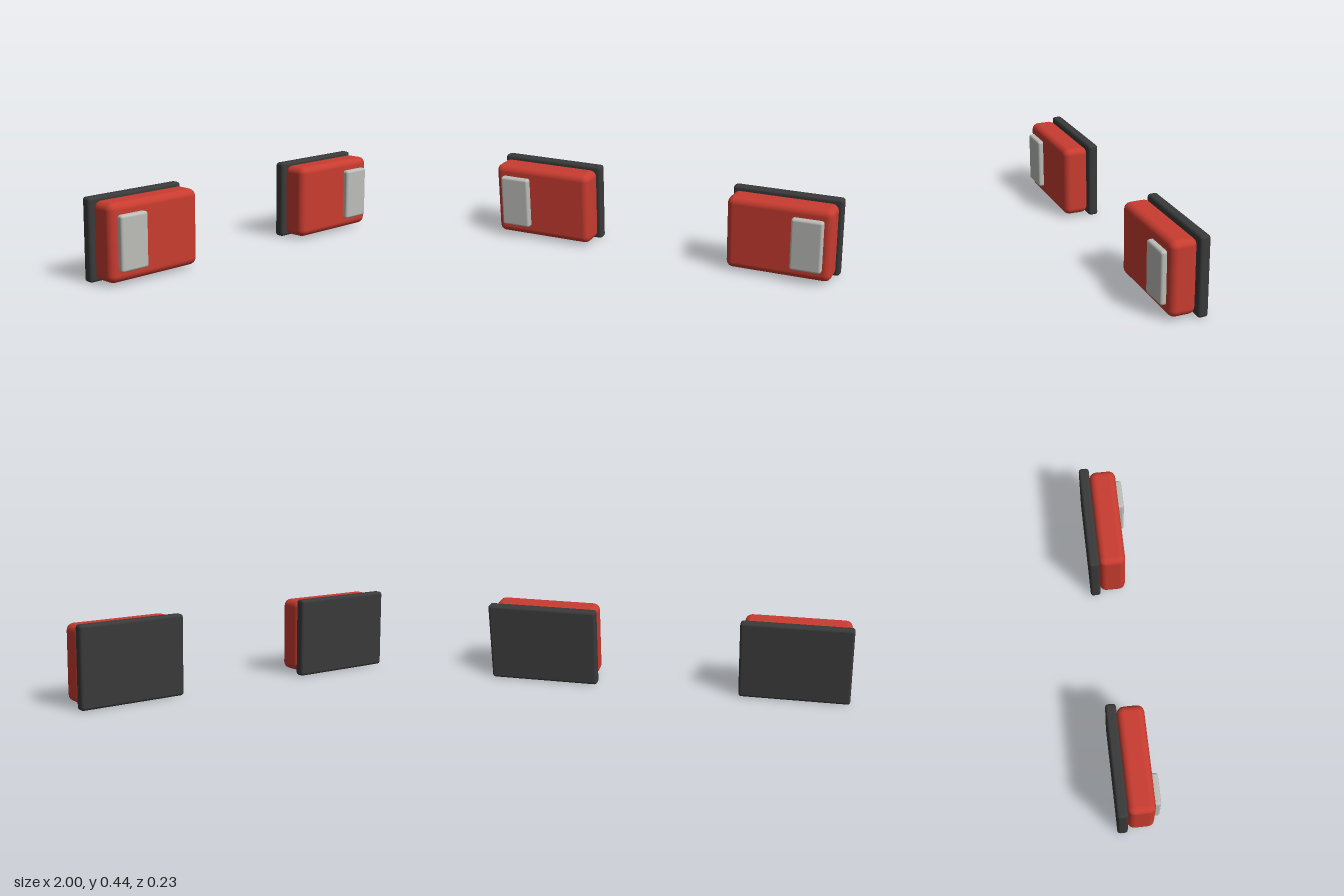
import * as THREE from 'three';
import { RoundedBoxGeometry } from 'three/addons/geometries/RoundedBoxGeometry.js';

const paint = (name, color) => {
  const m = new THREE.MeshStandardMaterial({ color });
  m.name = name;
  return m;
};

// Rounded block given by its [min, max] extents on each axis
function block(name, material, [x0, x1], [y0, y1], [z0, z1], radius, segments) {
  const geometry = new RoundedBoxGeometry(x1 - x0, y1 - y0, z1 - z0, segments, radius);
  const mesh = new THREE.Mesh(geometry, material);
  mesh.name = name;
  mesh.position.set((x0 + x1) / 2, (y0 + y1) / 2, (z0 + z1) / 2);
  return mesh;
}

export function createModel() {
  const red = paint('red lens', 0xc93c30);
  const dark = paint('dark housing', 0x3a3a3a);
  const grey = paint('pale grey insert', 0xbdbdb9);

  const model = new THREE.Group();
  model.name = 'tailLights';

  // One lamp per side; the insert sits toward the outer edge
  for (const [name, side] of [['leftLamp', 1], ['rightLamp', -1]]) {
    const span = (a, b) => (side > 0 ? [a, b] : [-b, -a]);
    const lamp = new THREE.Group();
    lamp.name = name;
    lamp.add(
      block('backPlate', dark, span(0.395, 1), [0, 0.435], [-0.117, -0.06], 0.016, 2),
      block('redLens', red, span(0.407, 0.985), [0.016, 0.421], [-0.06, 0.086], 0.038, 3),
      block('reverseInsert', grey, span(0.769, 0.94), [0.075, 0.363], [0.05, 0.117], 0.014, 2),
    );
    model.add(lamp);
  }
  return model;
}
